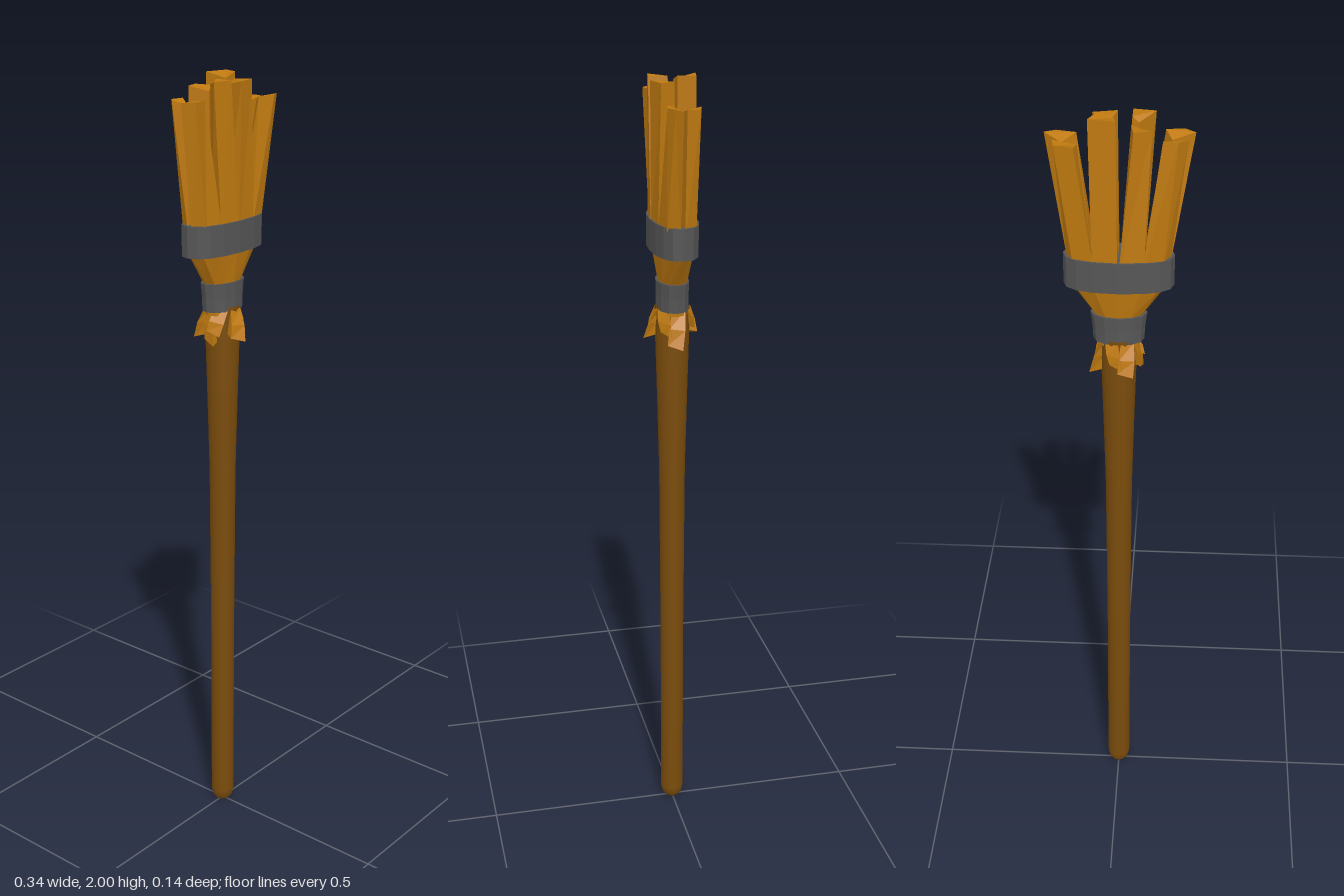
import * as THREE from 'three';

const mat = (color, flatShading = true) =>
  new THREE.MeshStandardMaterial({ color, flatShading, roughness: 0.9 });
const WOOD = mat(0x7a4c0c, false), STRAW = mat(0xc07a10), BAND = mat(0x565656);

// Closed solid through a stack of rings of [x, y, z] points, listed bottom to top
function loft(name, rings, material) {
  let area = 0;
  const top = rings[rings.length - 1], n = top.length;
  top.forEach((p, i) => {
    const q = top[(i + 1) % n];
    area += p[2] * q[0] - q[2] * p[0];
  });
  if (area < 0) rings = rings.map(r => [...r].reverse());
  const pos = [];
  const tri = (a, b, c) => pos.push(...a, ...b, ...c);
  for (let k = 0; k < rings.length - 1; k++) {
    for (let i = 0; i < n; i++) {
      const j = (i + 1) % n, lo = rings[k], hi = rings[k + 1];
      tri(lo[i], lo[j], hi[j]);
      tri(lo[i], hi[j], hi[i]);
    }
  }
  const first = rings[0], last = rings[rings.length - 1];
  for (let i = 1; i < n - 1; i++) {
    tri(last[0], last[i], last[i + 1]);
    tri(first[0], first[i + 1], first[i]);
  }
  const geo = new THREE.BufferGeometry();
  geo.setAttribute('position', new THREE.Float32BufferAttribute(pos, 3));
  geo.computeVertexNormals();
  const mesh = new THREE.Mesh(geo, material);
  mesh.name = name;
  return mesh;
}

// Elliptical ring of points
const oval = (y, rx, rz, sides = 12) => Array.from({ length: sides }, (_, i) => {
  const a = i / sides * Math.PI * 2;
  return [rx * Math.cos(a), y, -rz * Math.sin(a)];
});

export function createModel() {
  const broom = new THREE.Group();
  broom.name = 'broom';

  // Round handle, swelling towards the head
  const profile = [[0, 0], [0.018, 0.003], [0.027, 0.014], [0.031, 0.035], [0.031, 0.5],
    [0.034, 1.0], [0.039, 1.2], [0.044, 1.38], [0.044, 1.44]];
  const handle = new THREE.Mesh(
    new THREE.LatheGeometry(profile.map(p => new THREE.Vector2(...p)), 16), WOOD);
  handle.name = 'handle';
  broom.add(handle);

  // Flared straw neck and the two bindings
  broom.add(loft('strawNeck', [oval(1.42, 0.054, 0.036), oval(1.5, 0.06, 0.036),
    oval(1.58, 0.117, 0.047), oval(1.65, 0.12, 0.048)], STRAW));
  broom.add(loft('lowerBinding', [oval(1.43, 0.062, 0.041), oval(1.465, 0.064, 0.04),
    oval(1.502, 0.069, 0.041)], BAND));
  const wide = y => oval(y, 1, 1, 16).map(([x, , z]) => [0.132 * Math.sign(x) * Math.abs(x) ** 0.85,
    y, 0.057 * Math.sign(z) * Math.abs(z) ** 0.85]);
  broom.add(loft('upperBinding', [wide(1.578), wide(1.656)], BAND));

  // Straw bundles: base outlines run left to right along the front half
  const bases = [
    [[-0.12, 0.005], [-0.103, 0.036], [-0.055, 0.048], [-0.06, 0]],
    [[-0.06, 0.048], [-0.001, 0.053], [-0.001, 0], [-0.04, 0]],
    [[0.001, 0.053], [0.06, 0.048], [0.04, 0], [0.001, 0]],
    [[0.055, 0.048], [0.103, 0.036], [0.12, 0.005], [0.06, 0]],
  ];
  // Tip outlines with their heights: four in front, four behind
  const tips = [
    [1.95, [-0.173, 0.02], [-0.147, 0.042], [-0.105, 0.035], [-0.12, 0.002]],
    [1.99, [-0.083, 0.043], [-0.03, 0.052], [-0.03, 0.005], [-0.045, 0]],
    [1.985, [0.005, 0.054], [0.062, 0.04], [0.04, 0.003], [0.025, 0]],
    [1.94, [0.098, 0.032], [0.145, 0.043], [0.172, 0.03], [0.13, 0]],
    [1.95, [-0.157, -0.022], [-0.135, -0.043], [-0.1, -0.038], [-0.12, -0.006]],
    [1.975, [-0.075, -0.042], [-0.035, -0.055], [-0.028, -0.01], [-0.05, 0]],
    [2.0, [0.005, -0.055], [0.068, -0.043], [0.05, -0.002], [0.012, 0]],
    [1.935, [0.1, -0.048], [0.146, -0.036], [0.15, -0.003], [0.095, -0.002]],
  ];
  const bristles = new THREE.Group();
  bristles.name = 'bristles';
  tips.forEach(([y, ...tip], i) => {
    const side = i < 4 ? 1 : -1;
    const base = bases[i % 4].map(([x, z]) => [x, 1.62, z * side]);
    const end = tip.map(([x, z], k) => [x, y - (k === 3 ? 0.012 : 0), z]);
    bristles.add(loft('strawBundle', [base, end], STRAW));
  });
  broom.add(bristles);

  // Ragged straw ends sticking out below the lower binding
  const tuft = new THREE.Group();
  tuft.name = 'strawEnds';
  const count = 7;
  for (let i = 0; i < count; i++) {
    const a = -Math.PI / 2 + i / count * Math.PI * 2 + 0.1 * Math.sin(i * 5);
    const at = (angle, r, y) => [r * Math.cos(angle), y, -r * Math.sin(angle)];
    const low = 1.355 + 0.018 * Math.sin(i * 2.4);
    const twist = i % 2 ? 0.3 : -0.25, r = 0.068 + 0.006 * Math.cos(i * 3);
    const bottom = [at(a + twist - 0.36, 0.036, low + 0.02), at(a + twist - 0.3, r - 0.008, low + 0.012),
      at(a + twist + 0.25, r, low), at(a + twist + 0.36, 0.036, low + 0.01)];
    const top = [at(a - 0.4, 0.03, 1.435), at(a - 0.4, 0.045, 1.432),
      at(a + 0.4, 0.047, 1.432), at(a + 0.4, 0.03, 1.435)];
    const mid = bottom.map((p, k) => p.map((v, c) => (v + top[k][c]) / 2 * (c !== 1 && k % 3 ? 1.08 : 1)));
    tuft.add(loft('strawEnd', [bottom, mid, top], STRAW));
  }
  broom.add(tuft);

  return broom;
}
